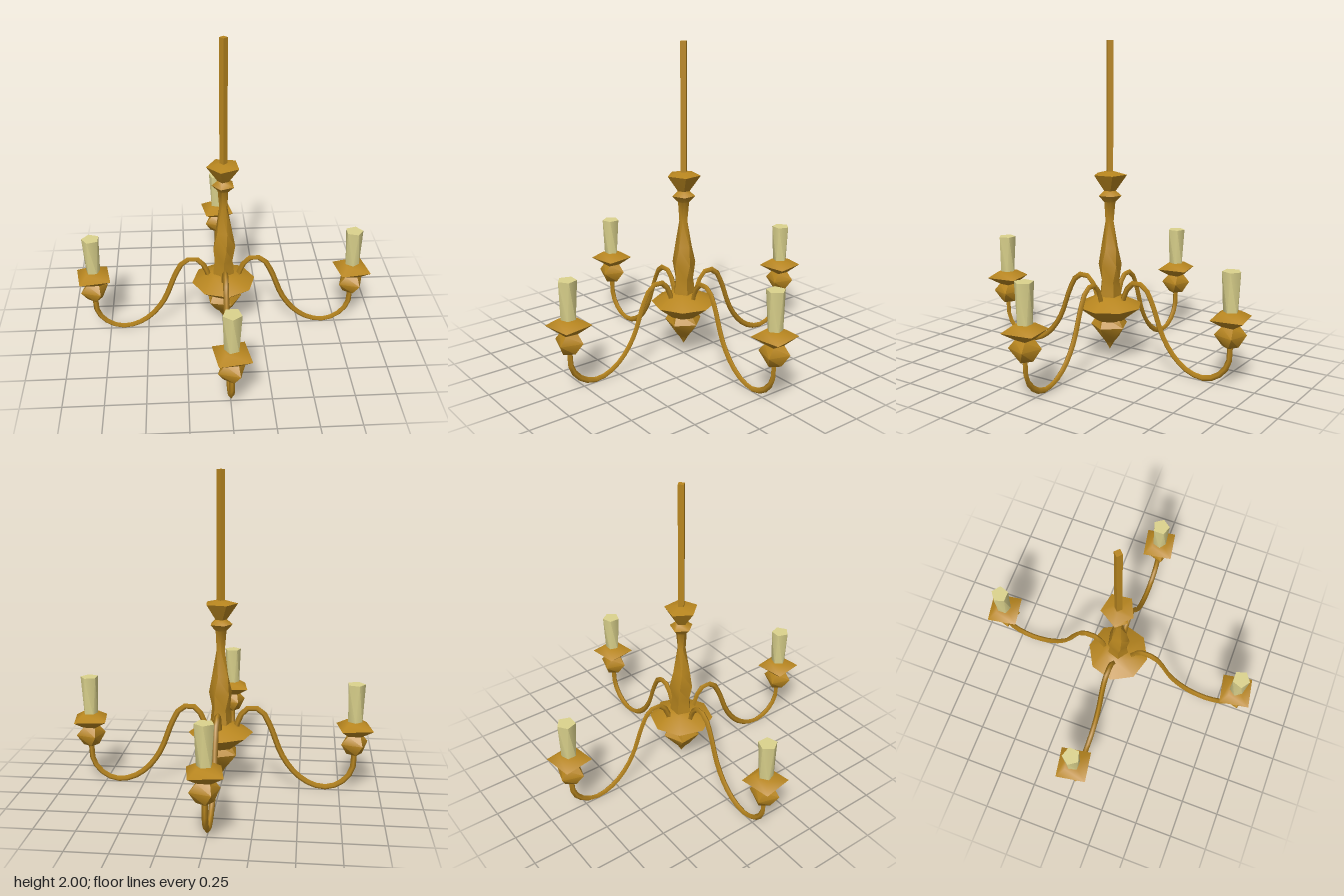
import * as THREE from 'three';
import { toCreasedNormals } from 'three/addons/utils/BufferGeometryUtils.js';

const brass = new THREE.MeshStandardMaterial({ color: 0xb8861f });
const wax = new THREE.MeshStandardMaterial({ color: 0xdbd28c });

// Turned part with few sides; each ring is [radius, y, turn in radians]
function turned(name, rings, sides, material, crease = 1.0) {
  const points = rings.map(([r, y]) => new THREE.Vector2(r, y));
  const geo = new THREE.LatheGeometry(points, sides);
  const pos = geo.attributes.position;
  const v = new THREE.Vector3();
  const up = new THREE.Vector3(0, 1, 0);
  for (let i = 0; i < pos.count; i++) {
    v.fromBufferAttribute(pos, i).applyAxisAngle(up, rings[i % rings.length][2] || 0);
    pos.setXYZ(i, v.x, v.y, v.z);
  }
  const mesh = new THREE.Mesh(toCreasedNormals(geo, crease), material);
  mesh.name = name;
  return mesh;
}

// One S-curved arm along +x, with its cup and candle
function createArm() {
  const arm = new THREE.Group();
  const path = new THREE.CatmullRomCurve3([
    [0.09, 0.37], [0.11, 0.44], [0.15, 0.51], [0.2, 0.53], [0.26, 0.505],
    [0.31, 0.42], [0.39, 0.22], [0.48, 0.1], [0.58, 0.035], [0.68, 0.02],
    [0.77, 0.06], [0.83, 0.14], [0.84, 0.28],
  ].map(([x, y]) => new THREE.Vector3(x, y, 0)));
  const branch = new THREE.Mesh(new THREE.TubeGeometry(path, 22, 0.018, 4), brass);
  branch.name = 'curvedArm';

  const cup = turned('candleCup', [
    [0, 0.25], [0.05, 0.25, 0.2], [0.095, 0.32, 0.5], [0.055, 0.37, 0.7],
    [0.138, 0.42, 0.95], [0.065, 0.46, 0.95], [0, 0.46],
  ], 4, brass);
  const candle = turned('candle', [
    [0, 0.45], [0.046, 0.45], [0.058, 0.7, 0.3], [0, 0.7],
  ], 5, wax);
  cup.position.x = candle.position.x = 0.84;
  arm.add(branch, cup, candle);
  return arm;
}

export function createModel() {
  const model = new THREE.Group();
  model.name = 'chandelier';

  // Hanging rod
  model.add(turned('hangingRod', [
    [0, 1.18], [0.025, 1.18], [0.025, 2], [0, 2],
  ], 4, brass));

  // Column with collar ring and top plate
  model.add(turned('column', [
    [0.07, 0.36], [0.07, 0.44], [0.06, 0.52], [0.076, 0.62, 0.2], [0.055, 0.73, 0.4],
    [0.027, 0.9, 0.7], [0.036, 1.02, 0.9], [0.074, 1.06, 1.0], [0.038, 1.09, 1.0],
    [0.107, 1.19, 1.05], [0.03, 1.21, 1.05], [0, 1.21],
  ], 5, brass));

  // Wide bowl that the arms spring from
  model.add(turned('bowl', [
    [0, 0.26], [0.09, 0.27], [0.205, 0.36, 0.1], [0.085, 0.42], [0, 0.43],
  ], 8, brass));

  // Finial below the bowl
  model.add(turned('finial', [
    [0, 0.07], [0.03, 0.12], [0.06, 0.15, 0.2], [0.12, 0.23, 0.4], [0.075, 0.3, 0.3], [0, 0.31],
  ], 5, brass));

  // Four arms at right angles
  for (let i = 0; i < 4; i++) {
    const arm = createArm();
    arm.name = 'arm' + (i + 1);
    arm.rotation.y = (i * Math.PI) / 2;
    model.add(arm);
  }
  return model;
}
